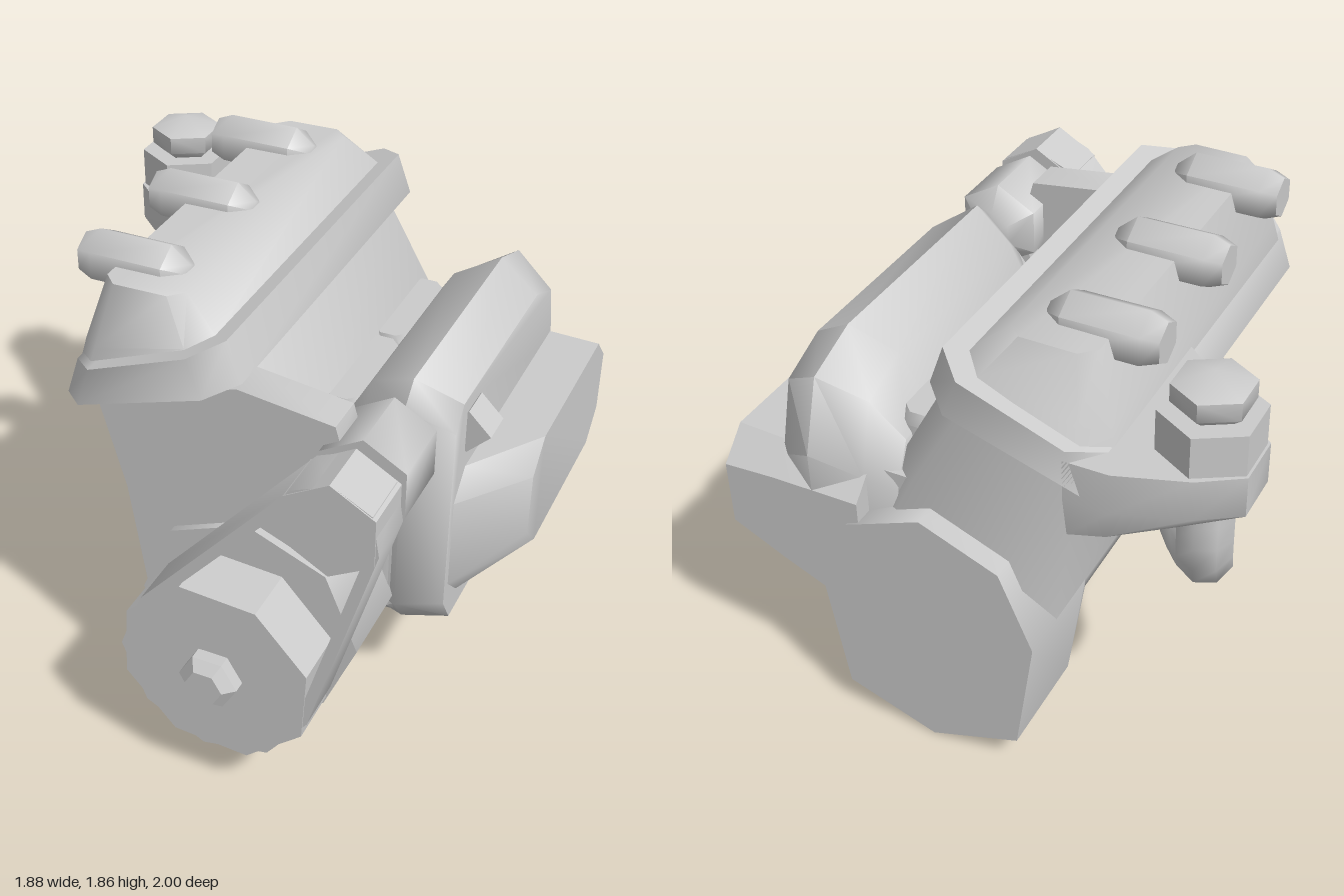
import * as THREE from 'three';
import { mergeVertices, toCreasedNormals } from 'three/addons/utils/BufferGeometryUtils.js';

const material = new THREE.MeshStandardMaterial({ color: 0xcccccc });

// Make the faces point outwards and crease the normals
function addPart(parent, name, geometry, crease = 0.9) {
  let g = geometry.index ? geometry.toNonIndexed() : geometry;
  const p = g.attributes.position;
  const a = new THREE.Vector3(), b = new THREE.Vector3(), c = new THREE.Vector3();
  let volume = 0;
  for (let i = 0; i < p.count; i += 3) {
    a.fromBufferAttribute(p, i); b.fromBufferAttribute(p, i + 1); c.fromBufferAttribute(p, i + 2);
    volume += a.dot(b.cross(c));
  }
  const clean = new THREE.BufferGeometry().setAttribute('position', p);
  g = mergeVertices(clean, 1e-4);
  if (volume < 0) g.setIndex(Array.from(g.index.array).reverse());
  const mesh = new THREE.Mesh(toCreasedNormals(g.toNonIndexed(), crease), material);
  mesh.name = name;
  parent.add(mesh);
  return mesh;
}

// Skin a list of equal-length rings and cap both ends
function loft(rings) {
  const n = rings[0].length, pos = rings.flat(2), idx = [];
  for (let r = 0; r < rings.length - 1; r++)
    for (let i = 0; i < n; i++) {
      const j = (i + 1) % n, a = r * n, b = a + n;
      idx.push(a + i, a + j, b + j, a + i, b + j, b + i);
    }
  const last = (rings.length - 1) * n;
  for (let i = 1; i < n - 1; i++) idx.push(0, i + 1, i, last, last + i, last + i + 1);
  const g = new THREE.BufferGeometry();
  g.setAttribute('position', new THREE.Float32BufferAttribute(pos, 3));
  g.setIndex(idx);
  return g;
}

// Chamfered rectangle seen from above, sloping from (x0, y0) to (x1, y1)
function slopedRing(x0, y0, x1, y1, z0, z1, c) {
  const cx = Math.min(c, (x1 - x0) * 0.4);
  return [[x0 + cx, z1], [x1 - cx, z1], [x1, z1 - c], [x1, z0 + c],
    [x1 - cx, z0], [x0 + cx, z0], [x0, z0 + c], [x0, z1 - c]]
    .map(([x, z]) => [x, y0 + (y1 - y0) * (x - x0) / (x1 - x0), z]);
}

// Many-sided solid of revolution; profile is [radius, distance along axis]
function turned(profile, sides, axis, x, y, z, spin = 0) {
  const g = new THREE.LatheGeometry(profile.map(([r, t]) => new THREE.Vector2(r, t)), sides);
  g.rotateY(spin);
  if (axis === 'z') g.rotateX(Math.PI / 2);
  if (axis === 'x') g.rotateZ(-Math.PI / 2);
  return g.translate(x, y, z);
}

function plate(points, z0, z1, hole) {
  const shape = new THREE.Shape(points.map(p => new THREE.Vector2(...p)));
  if (hole) shape.holes.push(new THREE.Path(hole.map(p => new THREE.Vector2(...p))));
  return new THREE.ExtrudeGeometry(shape, { depth: z1 - z0, bevelEnabled: false }).translate(0, 0, z0);
}

// Outline wrapped round the crank and alternator pulleys
const crank = [0.15, 0.57], alt = [0.57, 1.34];
function beltLoop(ra, rb) {
  const dx = alt[0] - crank[0], dy = alt[1] - crank[1];
  const dir = Math.atan2(dy, dx), t = Math.acos((ra - rb) / Math.hypot(dx, dy));
  const pts = [];
  const arc = (c, r, from, to, n) => {
    for (let i = 0; i <= n; i++) {
      const a = from + (to - from) * i / n;
      pts.push([c[0] + r * Math.cos(a), c[1] + r * Math.sin(a)]);
    }
  };
  arc(crank, ra, dir + t, dir + 2 * Math.PI - t, 5);
  arc(alt, rb, dir - t, dir + t, 3);
  return pts;
}

export function createModel() {
  const engine = new THREE.Group();
  engine.name = 'engine';

  // Crankcase flaring into the bell housing at the rear
  const caseRing = (z, flare) => Array.from({ length: 8 }, (_, i) => {
    const a = i * Math.PI / 4, s = Math.sin(a), c = Math.cos(a);
    const low = c < -0.1 ? flare : 0;
    return [0.15 + 0.42 * s + Math.sign(Math.round(s * 9)) * low * 0.05, 0.605 + 0.42 * c - low * 0.18, z];
  });
  addPart(engine, 'crankcase', loft([caseRing(0.65, 0), caseRing(-0.32, 0), caseRing(-0.57, 1), caseRing(-0.98, 1)]));

  // Leaning cylinder block and front timing cover
  addPart(engine, 'cylinderBlock', loft([
    slopedRing(-0.27, 0.6, 0.5, 0.75, -0.9, 0.6, 0.1),
    slopedRing(-0.33, 1.02, 0.32, 1.12, -0.9, 0.58, 0.1),
    slopedRing(-0.44, 1.4, 0.08, 1.56, -0.88, 0.55, 0.1)]));
  addPart(engine, 'timingCover', plate([[-0.27, 0.6], [0.5, 0.6], [0.4, 0.93], [0.48, 1.44],
    [0.46, 1.51], [0.11, 1.555], [-0.43, 1.39], [-0.33, 1.02]], 0.47, 0.62));

  // Cylinder head with domed valve cover
  addPart(engine, 'cylinderHead', loft([
    slopedRing(-0.56, 1.34, 0.115, 1.56, -1, 0.69, 0.1),
    slopedRing(-0.51, 1.49, 0.06, 1.71, -1, 0.69, 0.1)]));
  addPart(engine, 'valveCover', loft([
    slopedRing(-0.52, 1.47, 0.02, 1.66, -0.95, 0.63, 0.08),
    slopedRing(-0.5, 1.55, 0, 1.68, -0.93, 0.62, 0.08),
    slopedRing(-0.43, 1.785, -0.13, 1.79, -0.85, 0.54, 0.05)]));
  for (const z of [0.35, -0.15, -0.65])
    addPart(engine, 'coverRib', turned([[0, -0.59], [0.075, -0.59], [0.1, -0.53], [0.1, -0.26],
      [0.04, -0.19], [0, -0.19]], 6, 'x', 0, 1.765, z, Math.PI / 6), 1.1);

  // Thermostat bracket, housing, cap and coolant hose
  const bracketRing = (y, s, shift) => [[-0.4, -1], [-0.56, -1], [-0.8, -0.92], [-0.94, -0.83],
    [-0.94, -0.64], [-0.66, -0.39], [-0.5, -0.25], [-0.4, -0.25]]
    .map(([x, z]) => [-0.4 + (x + 0.4) * s, y - shift * (x + 0.94), -0.68 + (z + 0.68) * (0.4 + 0.6 * s)]);
  addPart(engine, 'thermostatBracket', loft([
    bracketRing(1.31, 0.85, 0.25), bracketRing(1.34, 1, 0), bracketRing(1.49, 1, 0)]));
  addPart(engine, 'thermostatHousing', turned([[0, 1.45], [0.175, 1.45], [0.175, 1.64], [0, 1.64]],
    6, 'y', -0.78, 0, -0.735));
  addPart(engine, 'thermostatCap', turned([[0, 1.62], [0.09, 1.63], [0.135, 1.67], [0.135, 1.735], [0, 1.78]],
    6, 'y', -0.78, 0, -0.735));
  const hosePath = new THREE.CurvePath();
  const hosePoints = [[-0.77, 1.38, -0.72], [-0.77, 1.08, -0.72], [-0.75, 0.98, -0.66], [-0.57, 0.935, -0.4],
    [-0.53, 0.935, -0.05], [-0.47, 0.95, 0.03], [-0.25, 1, 0.08]].map(p => new THREE.Vector3(...p));
  for (let i = 1; i < hosePoints.length; i++)
    hosePath.add(new THREE.LineCurve3(hosePoints[i - 1], hosePoints[i]));
  addPart(engine, 'coolantHose', new THREE.TubeGeometry(
    new THREE.CatmullRomCurve3(hosePoints, false, 'centripetal'), 18, 0.1, 8, false), 1);

  // Intake boxes between the block and the side housing
  for (const z of [-0.53, -0.07])
    addPart(engine, 'intakeBox', loft([[1, 0.9], [1, 1.23], [0.75, 1.28]].map(([s, y]) =>
      slopedRing(0.27 - 0.12 * s, y, 0.27 + 0.12 * s, y, z - 0.23 * (0.8 + 0.2 * s), z + 0.23 * (0.8 + 0.2 * s), 0.06))));
  addPart(engine, 'intakePlate', new THREE.BoxGeometry(0.36, 0.3, 1.2).translate(0.24, 0.95, -0.27));

  // Tall side housing with a ridge along its middle
  const sideRing = (x, inset, top) => [[0.24, 1.5], [0.32, 1.42], [0.325, 0.57], [0.24, 0.45], [-0.87, 0.45],
    [-0.97, 0.58], [-0.97, 1.15], [-0.88, 1.42], [-0.66, 1.5]].map(([z, y]) =>
    [x, Math.min(y > 1 ? y - inset : y, top), -0.32 + (z + 0.32) * (1 - inset * 1.2)]);
  addPart(engine, 'sideHousing', loft([
    sideRing(0.29, 0.12, 1.2), sideRing(0.41, 0.09, 2), sideRing(0.58, 0, 2), sideRing(0.74, 0.1, 2)]), 1);

  // Lower housing narrowing to a chamfered outer face
  const lowerRing = (x, z0, z1, y0, y1, c) => [[z1 - c, y1], [z1, y1 - c], [z1, y0 + c], [z1 - c, y0],
    [z0 + c, y0], [z0, y0 + c], [z0, y1 - c], [z0 + c, y1]].map(([z, y]) => [x, y, z]);
  addPart(engine, 'lowerHousing', loft([
    lowerRing(0.4, -0.97, 0.32, 0.44, 1.1, 0.1),
    lowerRing(0.55, -0.97, 0.32, 0.45, 1.1, 0.1),
    lowerRing(0.74, -0.97, 0.21, 0.535, 1.1, 0.1),
    lowerRing(0.94, -0.97, -0.07, 0.625, 1.1, 0.11)]), 0.7);
  addPart(engine, 'sideStud', new THREE.BoxGeometry(0.12, 0.12, 0.13)
    .rotateZ(Math.PI / 4).translate(0.745, 1.26, 0.065));

  // Alternator with rounded rear end
  addPart(engine, 'alternator', turned([[0, 0.3], [0.08, 0.33], [0.175, 0.39], [0.175, 0.655], [0, 0.655]],
    6, 'z', ...alt, 0), 1.1);
  addPart(engine, 'alternatorShaft', turned([[0, 0.6], [0.05, 0.6], [0.05, 0.75], [0, 0.75]], 8, 'z', ...alt, 0));
  addPart(engine, 'alternatorPulley', turned([[0, 0.71], [0.18, 0.71], [0.18, 0.92], [0, 0.92]], 6, 'z', ...alt, 0));

  // Crank pulley, shaft and bolt
  addPart(engine, 'crankPulley', turned([[0, 0.71], [0.37, 0.71], [0.37, 0.92], [0, 0.92]],
    8, 'z', ...crank, 0, 0.33), 0.7);
  addPart(engine, 'crankShaft', turned([[0, 0.6], [0.08, 0.6], [0.08, 0.75], [0, 0.75]], 8, 'z', ...crank, 0));
  addPart(engine, 'crankBolt', turned([[0, 0.9], [0.11, 0.9], [0.11, 0.965], [0.07, 1], [0, 1]],
    6, 'z', ...crank, 0, Math.PI / 6), 0.7);

  // Drive belt
  addPart(engine, 'driveBelt', plate(beltLoop(0.365, 0.175), 0.715, 0.915, beltLoop(0.325, 0.135)), 0.8);

  return engine;
}
